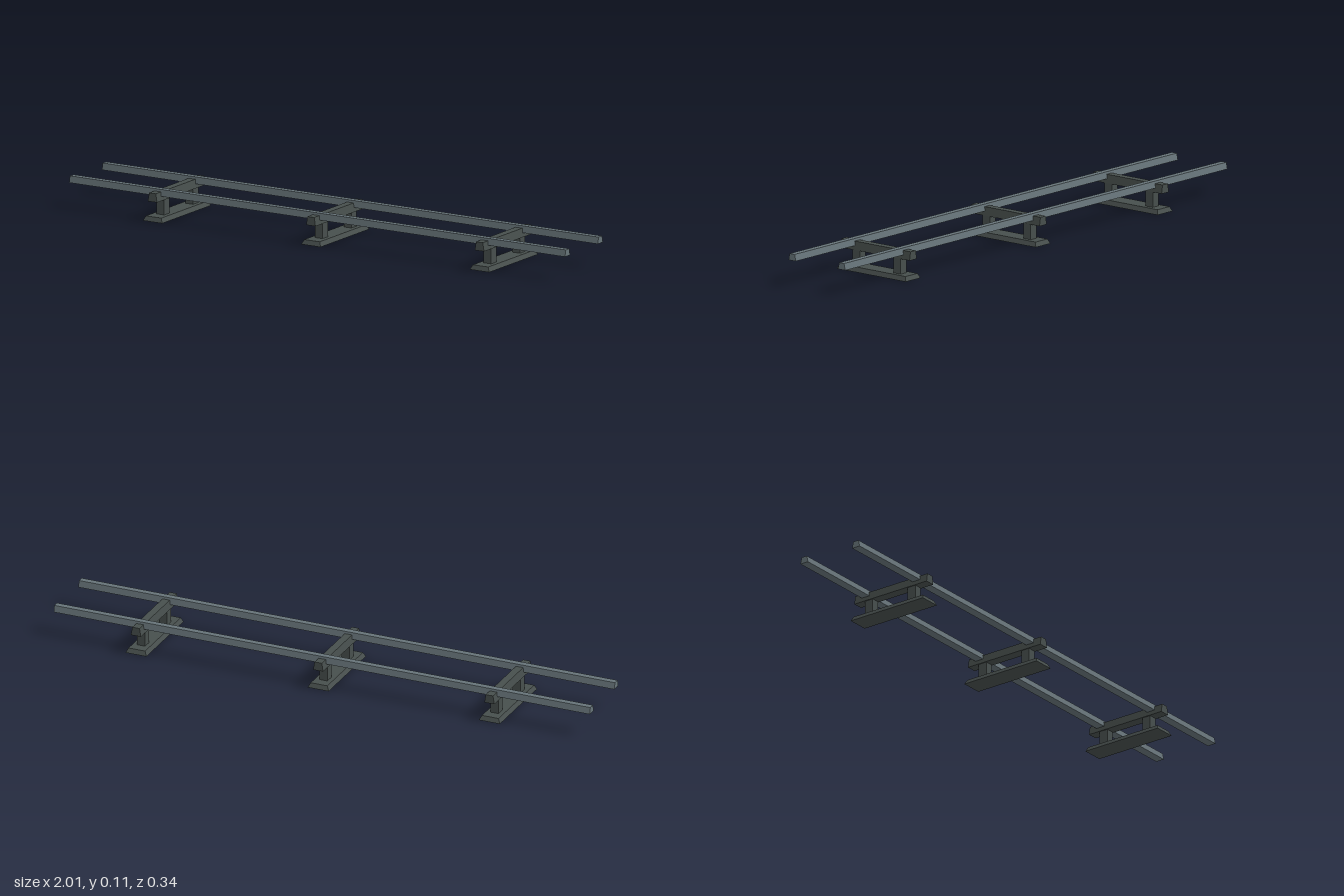
import * as THREE from 'three';

// Box whose top face is narrowed to topX by topZ; base sits at y = 0
function taperedBox(bottomX, bottomZ, height, topX, topZ) {
  const geometry = new THREE.BoxGeometry(bottomX, height, bottomZ);
  geometry.translate(0, height / 2, 0);
  const p = geometry.attributes.position;
  for (let i = 0; i < p.count; i++) {
    if (p.getY(i) > height / 2) {
      p.setX(i, p.getX(i) * topX / bottomX);
      p.setZ(i, p.getZ(i) * topZ / bottomZ);
    }
  }
  geometry.computeVertexNormals();
  return geometry;
}

export function createModel() {
  const railMetal = new THREE.MeshStandardMaterial({ name: 'railMetal', color: 0x667378, flatShading: true });
  const supportMetal = new THREE.MeshStandardMaterial({ name: 'supportMetal', color: 0x474f4d, flatShading: true });

  const model = new THREE.Group();
  model.name = 'railTrack';

  const add = (parent, name, geometry, material, x, y, z) => {
    const mesh = new THREE.Mesh(geometry, material);
    mesh.name = name;
    mesh.position.set(x, y, z);
    parent.add(mesh);
  };

  // The whole track runs at a slight angle to the x axis
  const track = new THREE.Group();
  track.name = 'track';
  track.rotation.y = 0.0255;
  model.add(track);

  // Two long parallel rails with a trapezoid section
  const railGeometry = taperedBox(1.994, 0.032, 0.023, 1.994, 0.022);
  for (const side of [1, -1]) {
    add(track, side > 0 ? 'frontRail' : 'backRail', railGeometry, railMetal, side * 0.0028, 0.085, side * 0.108);
  }

  // Three supports: sloped foot plate, two posts and a crossbeam
  const footGeometry = taperedBox(0.078, 0.308, 0.016, 0.062, 0.294);
  const postGeometry = new THREE.BoxGeometry(0.03, 0.056, 0.033);
  const beamGeometry = taperedBox(0.037, 0.308, 0.03, 0.027, 0.308);
  for (const x of [-0.64, -0.003, 0.675]) {
    const support = new THREE.Group();
    support.name = 'support';
    support.position.x = x;
    track.add(support);
    add(support, 'footPlate', footGeometry, supportMetal, 0, 0, 0);
    add(support, 'crossbeam', beamGeometry, supportMetal, 0, 0.07, 0);
    for (const z of [0.087, -0.095]) {
      add(support, 'post', postGeometry, supportMetal, 0, 0.043, z);
    }
  }

  return model;
}
